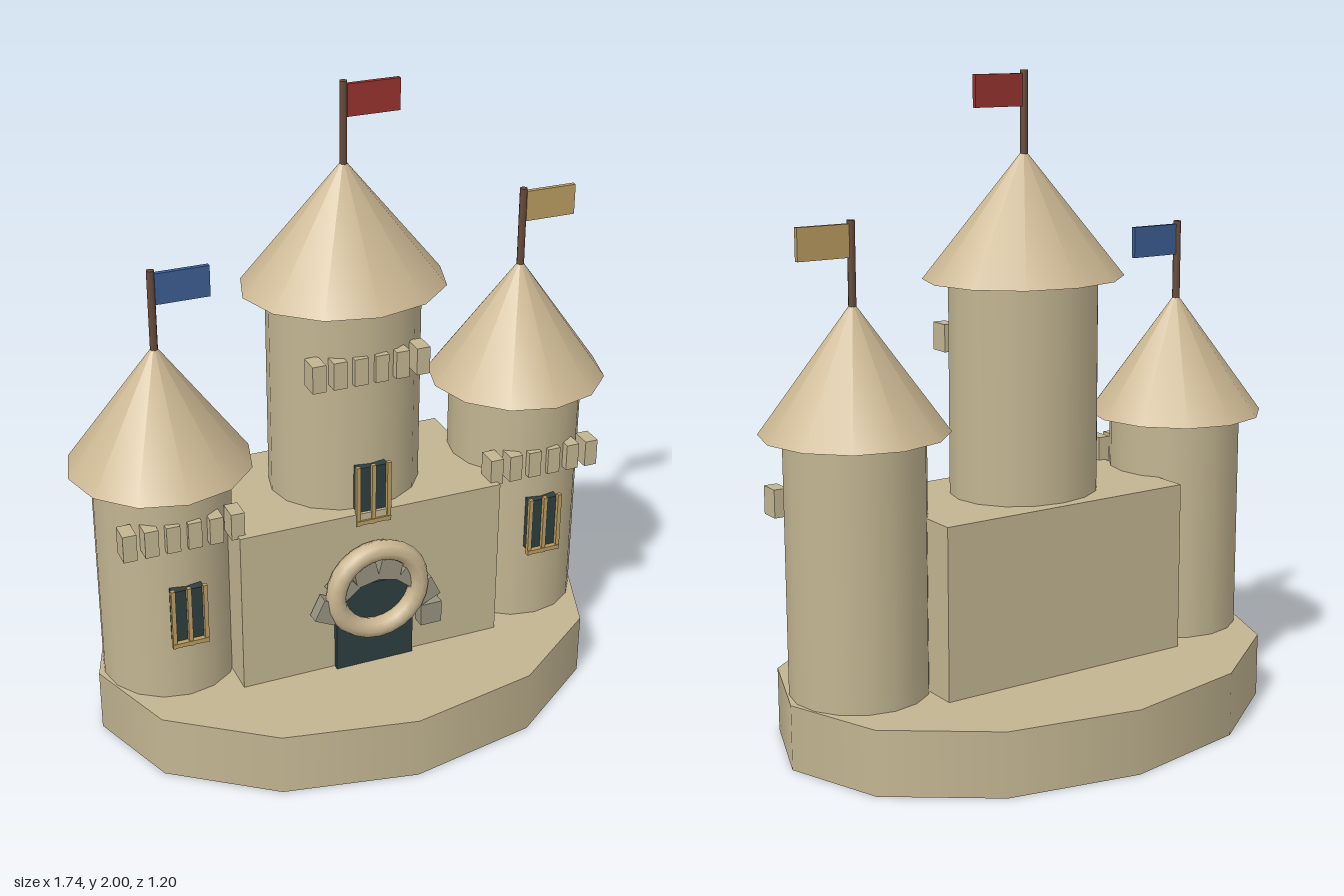
import * as THREE from 'three';

const mat = (name, color) => {
  const m = new THREE.MeshStandardMaterial({ color });
  m.name = name;
  return m;
};

export function createModel() {
  const sand = mat('sand stone', 0xc2b591);
  const roofSand = mat('roof sand', 0xcbb792);
  const stone = mat('grey stone', 0x979380);
  const dark = mat('dark opening', 0x2e3e3f);
  const gold = mat('gold', 0xb99b60);
  const wood = mat('pole wood', 0x664a3a);
  const red = mat('red cloth', 0x97332f);
  const blue = mat('blue cloth', 0x3c5d92);

  const model = new THREE.Group();
  model.name = 'sandCastle';

  const add = (parent, name, geometry, material, x, y, z) => {
    const mesh = new THREE.Mesh(geometry, material);
    mesh.name = name;
    mesh.position.set(x, y, z);
    parent.add(mesh);
    return mesh;
  };
  const box = (parent, name, material, w, h, d, x, y, z) =>
    add(parent, name, new THREE.BoxGeometry(w, h, d), material, x, y, z);

  // Oval twelve-sided base and main wall
  const base = add(model, 'base', new THREE.CylinderGeometry(0.6, 0.6, 0.2, 12), sand, 0, 0.1, 0);
  base.scale.x = 0.82 / 0.6;
  box(model, 'wall', sand, 0.855, 0.53, 0.48, 0, 0.465, 0);

  // Tower with pointed roof, flag, a row of blocks and a barred window
  function tower(name, x, top, widen, blockY, windowY, cloth) {
    const g = new THREE.Group();
    g.name = name;
    g.position.x = x;
    model.add(g);

    const body = add(g, 'towerBody', new THREE.CylinderGeometry(0.21, 0.21, top - 0.2, 16), sand, 0, (top + 0.2) / 2, 0);
    const roof = add(g, 'roof', new THREE.ConeGeometry(0.28, 0.385, 12), roofSand, 0, top + 0.1925, 0);
    body.scale.x = roof.scale.x = widen;

    const tip = top + 0.385;
    add(g, 'flagPole', new THREE.CylinderGeometry(0.012, 0.012, 0.25, 8), wood, 0, tip + 0.105, 0);
    box(g, 'flag', cloth, 0.165, 0.096, 0.015, 0.092, tip + 0.172, 0);

    for (let i = 0; i < 6; i++) {
      box(g, 'battlement', sand, 0.042, 0.086, 0.066, (i - 2.5) * 0.066, blockY, 0.188);
    }

    box(g, 'windowPane', dark, 0.098, 0.18, 0.035, 0, windowY, 0.2125);
    for (const bx of [-0.05, 0, 0.05]) {
      box(g, 'windowBar', gold, 0.013, 0.2, 0.014, bx, windowY, 0.237);
    }
    box(g, 'windowSill', gold, 0.112, 0.014, 0.018, 0, windowY - 0.09, 0.237);
  }
  tower('centreTower', 0, 1.388, 1.13, 1.195, 0.79, red);
  tower('rightTower', -0.59, 0.905, 1, 0.763, 0.5, blue);
  tower('leftTower', 0.59, 0.983, 1, 0.763, 0.548, gold);

  // Door with a ring of arch stones and a round tube in front
  box(model, 'door', dark, 0.255, 0.29, 0.03, 0, 0.345, 0.245);
  for (let i = 0; i < 7; i++) {
    const a = (i * Math.PI) / 7;
    const s = box(model, 'archStone', stone, 0.07, 0.074, 0.04, 0.18 * Math.cos(a), 0.345 + 0.2 * Math.sin(a), 0.265);
    s.rotation.z = a;
  }
  add(model, 'doorRing', new THREE.TorusGeometry(0.138, 0.0325, 8, 24), roofSand, 0, 0.475, 0.275);

  return model;
}
